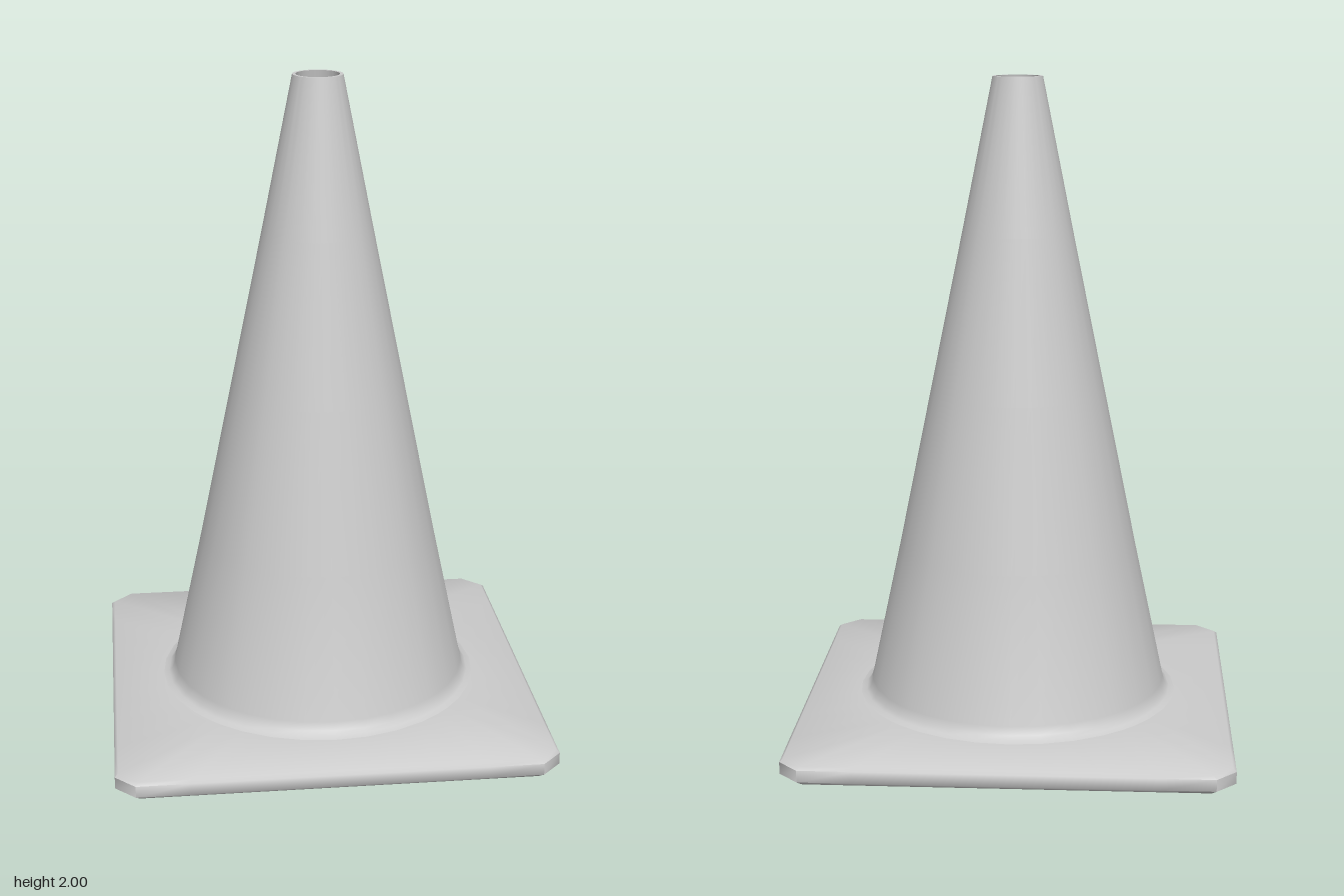
import * as THREE from 'three';
import { toCreasedNormals } from 'three/addons/utils/BufferGeometryUtils.js';

const HALF = 0.665;   // half width of the base plate
const CUT = 0.06;     // corner cut of the base plate

// Ring angles: even steps, with two per quadrant on the cut corners
const corner = Math.atan2(HALF - CUT, HALF);
const angles = [];
for (let q = 0; q < 4; q++) {
  const step = Math.PI / 16;
  [0, step, 2 * step, 3 * step, corner, Math.PI / 2 - corner, 5 * step, 6 * step, 7 * step]
    .forEach(a => angles.push(a + q * Math.PI / 2));
}

// A ring is a circle of radius r, or the cut square shrunk by an inset
const circle = (r, y) => angles.map(a => [r * Math.sin(a), y, r * Math.cos(a)]);
const plate = (inset, y) => angles.map(a => {
  const s = Math.abs(Math.sin(a)), c = Math.abs(Math.cos(a));
  const r = Math.min((HALF - inset) / Math.max(s, c), (2 * HALF - CUT - 1.41 * inset) / (s + c));
  return [r * Math.sin(a), y, r * Math.cos(a)];
});

// Skin consecutive rings with quads
function loft(rings, crease) {
  const n = angles.length, index = [];
  for (let i = 0; i < rings.length - 1; i++) {
    for (let j = 0; j < n; j++) {
      const k = (j + 1) % n;
      const a = i * n + j, b = i * n + k, c = a + n, d = b + n;
      index.push(a, b, d, a, d, c);
    }
  }
  const geometry = new THREE.BufferGeometry();
  geometry.setAttribute('position', new THREE.Float32BufferAttribute(rings.flat(2), 3));
  geometry.setIndex(index);
  return toCreasedNormals(geometry, crease);
}

export function createModel() {
  const group = new THREE.Group();
  const material = new THREE.MeshStandardMaterial({ color: 0xcccccc });
  const add = (name, geometry) => {
    const mesh = new THREE.Mesh(geometry, material);
    mesh.name = name;
    group.add(mesh);
  };

  // Square plate with cut corners, bevelled rims and a gently rising top
  add('basePlate', loft([
    circle(0.001, 0), plate(0.015, 0), plate(0, 0.012), plate(0, 0.048),
    plate(0.01, 0.057), circle(0.5, 0.074),
  ], 0.9));

  // Flared foot, tapering wall, open rim and hollow inside
  add('coneBody', loft([
    circle(0.5, 0.074), circle(0.483, 0.08), circle(0.472, 0.09), circle(0.463, 0.115),
    circle(0.37, 0.55), circle(0.27, 1.04), circle(0.17, 1.53), circle(0.076, 2),
    circle(0.066, 2), circle(0.44, 0.1), circle(0.001, 0.1),
  ], 0.8));

  return group;
}
